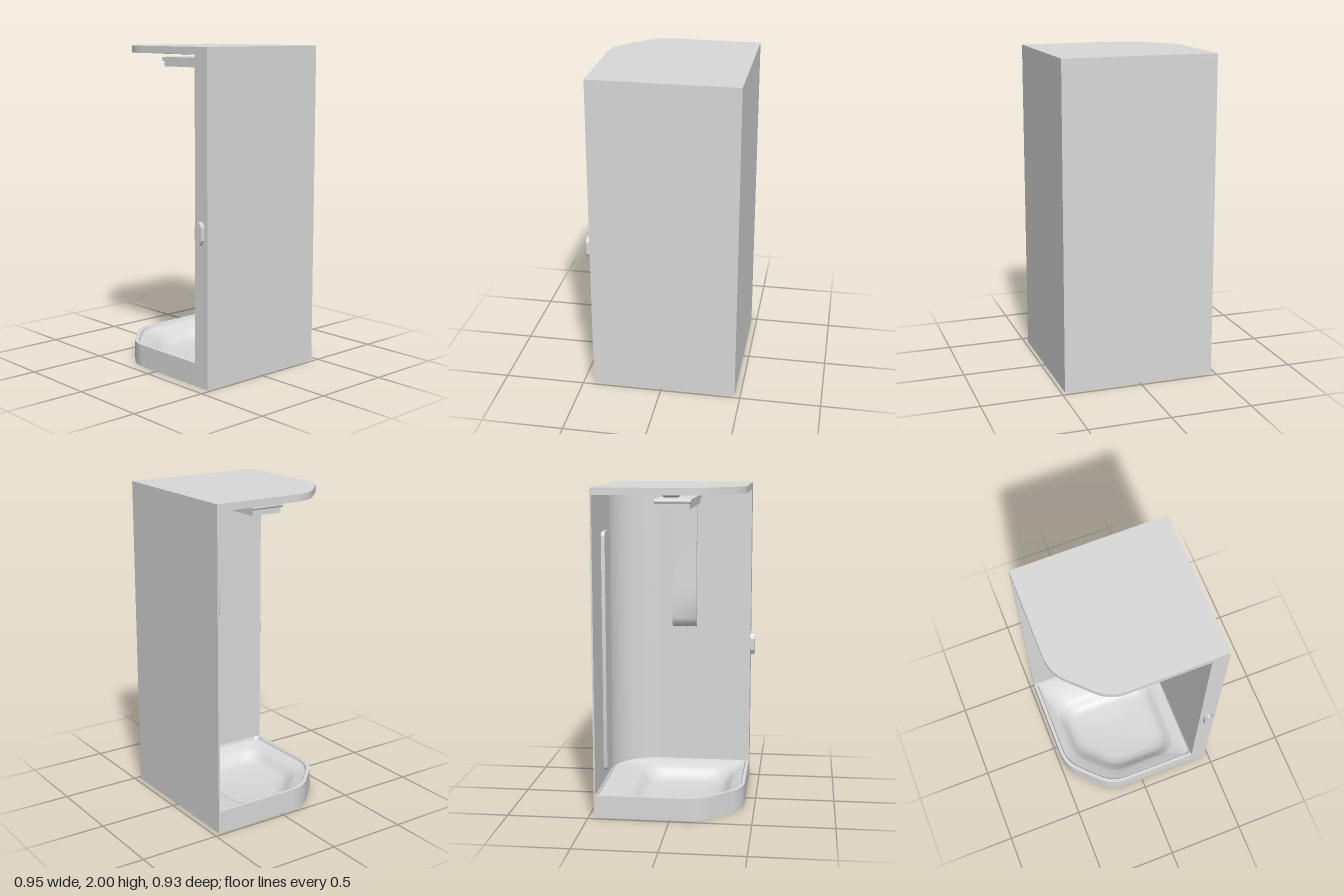
import * as THREE from 'three';
import { toCreasedNormals } from 'three/addons/utils/BufferGeometryUtils.js';

// Plan outline (x, z) with a rounded chamfer on the open front corner
function plan(x0, x1, z0, z1, c, t, r = 0) {
  const s = new THREE.Shape();
  const d = t * Math.SQRT1_2;
  s.moveTo(x0 + r, z0);
  s.lineTo(x1 - r, z0);
  if (r) s.quadraticCurveTo(x1, z0, x1, z0 + r);
  s.lineTo(x1, z1 - r);
  if (r) s.quadraticCurveTo(x1, z1, x1 - r, z1);
  s.lineTo(x0 + c + t, z1);
  s.quadraticCurveTo(x0 + c, z1, x0 + c - d, z1 - d);
  s.lineTo(x0 + d, z1 - c + d);
  s.quadraticCurveTo(x0, z1 - c, x0, z1 - c - t);
  s.lineTo(x0, z0 + r);
  if (r) s.quadraticCurveTo(x0, z0, x0 + r, z0);
  return s;
}

// Extrude a plan outline between two heights
function slab(shape, y0, y1) {
  const g = new THREE.ExtrudeGeometry(shape, { depth: y1 - y0, bevelEnabled: false, curveSegments: 10 });
  g.rotateX(Math.PI / 2).translate(0, y1, 0);
  return toCreasedNormals(g, 0.5);
}

// Upright rounded rectangle on the xy plane
function roundedRect(x0, x1, y0, y1, r) {
  const s = new THREE.Shape();
  s.absarc(x1 - r, y0 + r, r, -Math.PI / 2, 0);
  s.absarc(x1 - r, y1 - r, r, 0, Math.PI / 2);
  s.absarc(x0 + r, y1 - r, r, Math.PI / 2, Math.PI);
  s.absarc(x0 + r, y0 + r, r, Math.PI, Math.PI * 1.5);
  s.closePath();
  return s;
}

// Extrude an upright outline forwards
function upright(shape, depth, curveSegments = 6) {
  return toCreasedNormals(new THREE.ExtrudeGeometry(shape, { depth, bevelEnabled: false, curveSegments }), 0.5);
}

// Skin a stack of matching plan outlines and close the last one
function basin(levels) {
  const pos = [], index = [];
  const loops = levels.map(([y, ...p]) => plan(...p).getPoints(8).map(v => [v.x, y, v.y]));
  const n = loops[0].length;
  loops.forEach(l => l.forEach(p => pos.push(...p)));
  for (let j = 0; j < loops.length - 1; j++) {
    for (let i = 0; i < n - 1; i++) {
      const a = j * n + i, b = a + n;
      index.push(a, b, a + 1, a + 1, b, b + 1);
    }
  }
  const last = (loops.length - 1) * n, centre = pos.length / 3;
  pos.push(-0.06, levels[levels.length - 1][0] - 0.004, 0.03);
  for (let i = 0; i < n - 1; i++) index.push(last + i, centre, last + i + 1);
  const g = new THREE.BufferGeometry();
  g.setAttribute('position', new THREE.Float32BufferAttribute(pos, 3));
  g.setIndex(index);
  return toCreasedNormals(g, 0.7);
}

export function createModel() {
  const model = new THREE.Group();
  const grey = new THREE.MeshStandardMaterial({ color: 0xd9d9d9, side: THREE.DoubleSide });
  grey.name = 'light grey';
  const add = (name, geometry, x = 0, y = 0, z = 0) => {
    const m = new THREE.Mesh(geometry, grey);
    m.name = name;
    m.position.set(x, y, z);
    model.add(m);
  };

  // Back and side walls with a wide rounded inner corner
  const wall = new THREE.Shape();
  wall.moveTo(-0.477, -0.465);
  wall.lineTo(0.477, -0.465);
  wall.lineTo(0.477, 0.435);
  wall.lineTo(0.37, 0.435);
  wall.lineTo(0.37, -0.155);
  wall.absarc(0.07, -0.155, 0.3, 0, -Math.PI / 2, true);
  wall.lineTo(-0.477, -0.455);
  wall.closePath();
  add('walls', slab(wall, 0.14, 1.957));

  // Roof slab
  const outline = () => plan(-0.477, 0.477, -0.465, 0.435, 0.255, 0.1);
  add('roof', slab(outline(), 1.957, 2));

  // Thin tray skirt, hollow underneath
  const skirt = outline();
  skirt.holes.push(plan(-0.472, 0.472, -0.46, 0.43, 0.253, 0.1));
  add('traySkirt', slab(skirt, 0, 0.14));

  // Tray basin: flat rim, sloping shelf and sunken rounded floor
  add('trayBasin', basin([
    [0.139, -0.474, 0.372, -0.457, 0.432, 0.254, 0.1, 0.02],
    [0.139, -0.457, 0.37, -0.452, 0.415, 0.247, 0.1, 0.02],
    [0.122, -0.45, 0.365, -0.445, 0.408, 0.245, 0.1, 0.03],
    [0.1, -0.4, 0.3, -0.27, 0.35, 0.22, 0.09, 0.12],
    [0.09, -0.385, 0.285, -0.25, 0.335, 0.215, 0.09, 0.13],
    [0.06, -0.36, 0.265, -0.225, 0.31, 0.21, 0.09, 0.13],
    [0.035, -0.33, 0.235, -0.195, 0.28, 0.2, 0.08, 0.13],
    [0.028, -0.29, 0.195, -0.155, 0.24, 0.18, 0.07, 0.12],
  ]));

  // Tall rounded panel on the back wall
  add('backPanel', upright(roundedRect(-0.185, -0.015, 0.205, 1.72, 0.035), 0.025), 0, 0, -0.457);

  // Shower column on the inner side wall, tapered at the foot
  const column = new THREE.Shape();
  [[0.375, 1.05], [0.358, 1.055], [0.335, 1.085], [0.326, 1.11], [0.326, 1.3], [0.336, 1.45], [0.336, 1.87], [0.375, 1.87]]
    .forEach(([x, y], i) => (i ? column.lineTo(x, y) : column.moveTo(x, y)));
  column.closePath();
  add('showerColumn', upright(column, 0.16), 0, 0, -0.08);
  add('tapPipe', new THREE.BoxGeometry(0.015, 0.07, 0.03), 0.366, 1.025, 0);

  // Overhead shower arm in two layers
  add('overheadArm', new THREE.BoxGeometry(0.655, 0.035, 0.2), 0.03, 1.883, 0);
  add('overheadArmTop', upright(roundedRect(-0.31, 0.36, 1.9, 1.925, 0.01), 0.22, 4), 0, 0, -0.11);

  // Row of shallow ceiling lights
  for (const [x, r] of [[-0.37, 0.06], [-0.14, 0.09], [0.065, 0.065], [0.25, 0.075]]) {
    add('ceilingLight', new THREE.CylinderGeometry(r, r - 0.015, 0.016, 24), x, 1.95, 0);
  }

  // Small tap on the inner side wall
  add('tap', new THREE.BoxGeometry(0.022, 0.135, 0.05), 0.36, 0.932, 0);

  // Elongated eight-sided knob on the front edge
  const knob = new THREE.Shape();
  [[0.414, 0.863], [0.436, 0.863], [0.453, 0.893], [0.453, 0.97], [0.436, 1], [0.414, 1], [0.397, 0.97], [0.397, 0.893]]
    .forEach(([x, y], i) => (i ? knob.lineTo(x, y) : knob.moveTo(x, y)));
  knob.closePath();
  add('frontKnob', upright(knob, 0.03), 0, 0, 0.432);

  return model;
}
